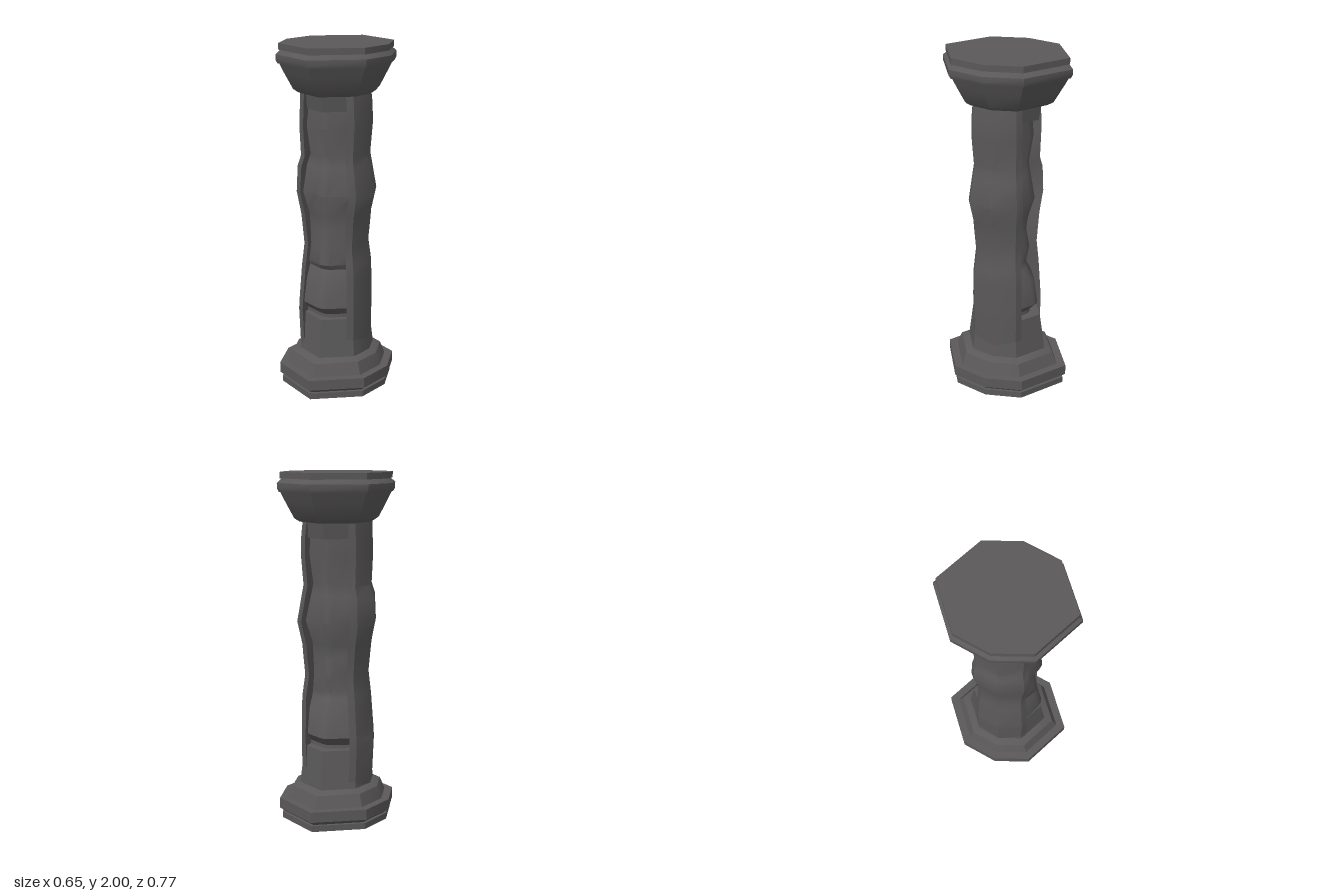
import * as THREE from 'three';
import { toCreasedNormals } from 'three/addons/utils/BufferGeometryUtils.js';

const material = new THREE.MeshStandardMaterial({ color: 0x5a5858 });

// Skin a stack of closed rings (bottom to top, counter-clockwise from above) and cap both ends
function loft(name, rings) {
  const pos = [];
  const n = rings[0].length;
  const tri = (...corners) => corners.forEach((c) => pos.push(...c));
  for (let r = 0; r < rings.length - 1; r++) {
    const a = rings[r], b = rings[r + 1];
    for (let i = 0; i < n; i++) {
      const j = (i + 1) % n;
      tri(a[i], a[j], b[j]);
      tri(a[i], b[j], b[i]);
    }
  }
  const low = rings[0], high = rings[rings.length - 1];
  for (let i = 0; i < n; i++) {
    const j = (i + 1) % n;
    tri([0, low[0][1], 0], low[j], low[i]);
    tri([0, high[0][1], 0], high[i], high[j]);
  }
  const geometry = new THREE.BufferGeometry();
  geometry.setAttribute('position', new THREE.Float32BufferAttribute(pos, 3));
  const mesh = new THREE.Mesh(toCreasedNormals(geometry, 0.6), material);
  mesh.name = name;
  return mesh;
}

// Octagon with corners on the axes, longer front to back
const pointed = ([y, s]) => [
  [0, 0.385], [0.27, 0.217], [0.325, 0], [0.27, -0.217],
  [0, -0.385], [-0.27, -0.217], [-0.325, 0], [-0.27, 0.217],
].map(([x, z]) => [x * s, y, z * s]);

// Shaft section: the same octagon with rims around a sunken, ridged panel on front and back
function shaftRing([y, left, right, front, back]) {
  const quarter = (x, z) => {
    const rimX = 0.155 + (x - 0.188) * 0.65;
    const rimZ = 0.125 + (x - 0.188) * 0.43;
    return [
      [0.03, z - 0.008],
      [rimX - 0.034, Math.max(z - 0.07, 0.06)],
      [rimX - 0.034, rimZ + 0.022],
      [rimX, rimZ],
    ];
  };
  const place = (pts, sx, sz) => pts.map(([x, z]) => [x * sx, y, z * sz]);
  return [
    [0, y, front],
    ...place(quarter(right, front), 1, 1),
    [right, y, 0],
    ...place(quarter(right, back).reverse(), 1, -1),
    [0, y, -back],
    ...place(quarter(left, back), -1, -1),
    [-left, y, 0],
    ...place(quarter(left, front).reverse(), -1, 1),
  ];
}

export function createModel() {
  const column = new THREE.Group();
  column.name = 'column';
  const addOctagon = (name, levels) => column.add(loft(name, levels.map(pointed)));

  // Stepped base
  addOctagon('baseSlab', [[0, 0.955], [0.035, 0.955]]);
  addOctagon('baseMoulding', [[0.03, 0.88], [0.06, 1], [0.12, 1]]);
  addOctagon('baseFoot', [[0.11, 0.87], [0.19, 0.775], [0.215, 0.6]]);

  // Tapered block below the panels
  addOctagon('lowerBlock', [[0.17, 0.66], [0.43, 0.56]]);

  // Weathered shaft: height, reach to -x, +x, +z, -z
  column.add(loft('shaft', [
    [0.18, 0.21, 0.2, 0.17, 0.17],
    [0.45, 0.225, 0.205, 0.16, 0.145],
    [0.5, 0.222, 0.205, 0.215, 0.195],
    [0.65, 0.207, 0.202, 0.192, 0.17],
    [0.72, 0.2, 0.2, 0.16, 0.13],
    [0.75, 0.195, 0.195, 0.18, 0.12],
    [0.85, 0.18, 0.177, 0.172, 0.14],
    [0.96, 0.193, 0.19, 0.163, 0.12],
    [1.03, 0.202, 0.197, 0.163, 0.13],
    [1.16, 0.234, 0.234, 0.2, 0.17],
    [1.31, 0.225, 0.2, 0.16, 0.143],
    [1.37, 0.2, 0.186, 0.146, 0.132],
    [1.54, 0.21, 0.204, 0.18, 0.16],
    [1.65, 0.205, 0.2, 0.16, 0.15],
    [1.76, 0.2, 0.185, 0.165, 0.16],
  ].map(shaftRing)));

  // Collar closing the panels under the capital
  addOctagon('collar', [[1.635, 0.5], [1.76, 0.56]]);

  // Flared capital
  addOctagon('capitalBell', [[1.725, 0.63], [1.745, 0.72], [1.84, 0.87], [1.915, 0.98]]);
  addOctagon('capitalMoulding', [[1.89, 0.97], [1.91, 1], [1.94, 1], [1.97, 0.9]]);
  addOctagon('capitalSlab', [[1.965, 0.955], [2, 0.955]]);

  return column;
}
